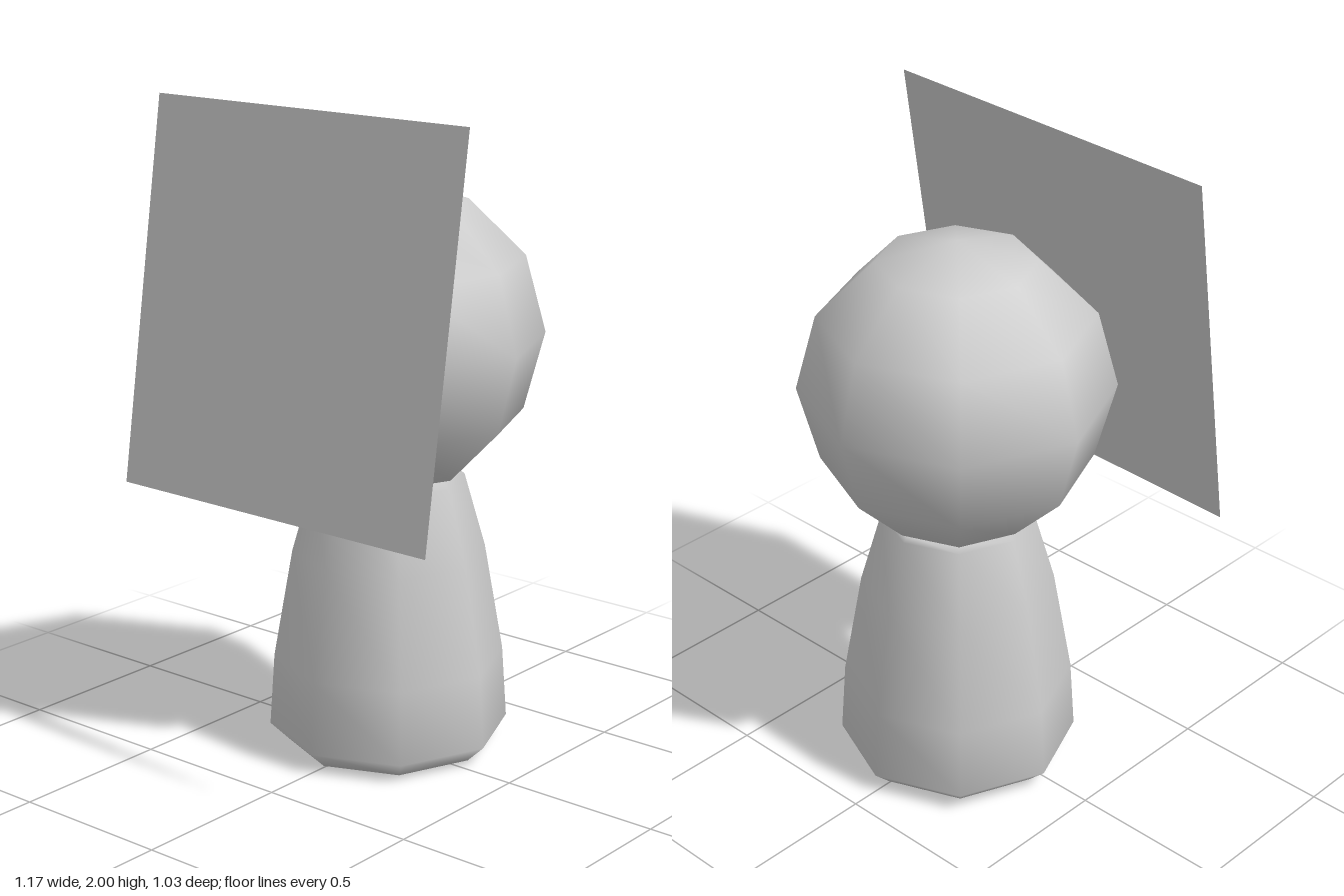
import * as THREE from 'three';

export function createModel() {
  const model = new THREE.Group();
  const grey = new THREE.MeshStandardMaterial({ color: 0xcccccc });
  const doubleGrey = new THREE.MeshStandardMaterial({ color: 0xcccccc, side: THREE.DoubleSide });

  const add = (name, geometry, material, x, y, z) => {
    const mesh = new THREE.Mesh(geometry, material);
    mesh.name = name;
    mesh.position.set(x, y, z);
    model.add(mesh);
    return mesh;
  };

  // Tapered eight-sided body, closed at both ends
  const profile = [
    [0, 0], [0.31, 0.005], [0.368, 0.06], [0.353, 0.285],
    [0.295, 0.62], [0.23, 0.85], [0.21, 0.865], [0, 0.867],
  ].map(([r, y]) => new THREE.Vector2(r, y));
  add('body', new THREE.LatheGeometry(profile, 8), grey, 0, 0, -0.045);

  // Low-poly round head with smooth shading
  add('head', new THREE.SphereGeometry(0.47, 8, 6), grey, 0, 1.285, -0.045);

  // Thin square panel leaning back against the face, slightly askew
  const panel = add('facePanel', new THREE.PlaneGeometry(1.168, 1.163), doubleGrey, -0.001, 1.422, 0.41);
  panel.rotation.set(-0.162, -0.0245, 0.0055);

  return model;
}
